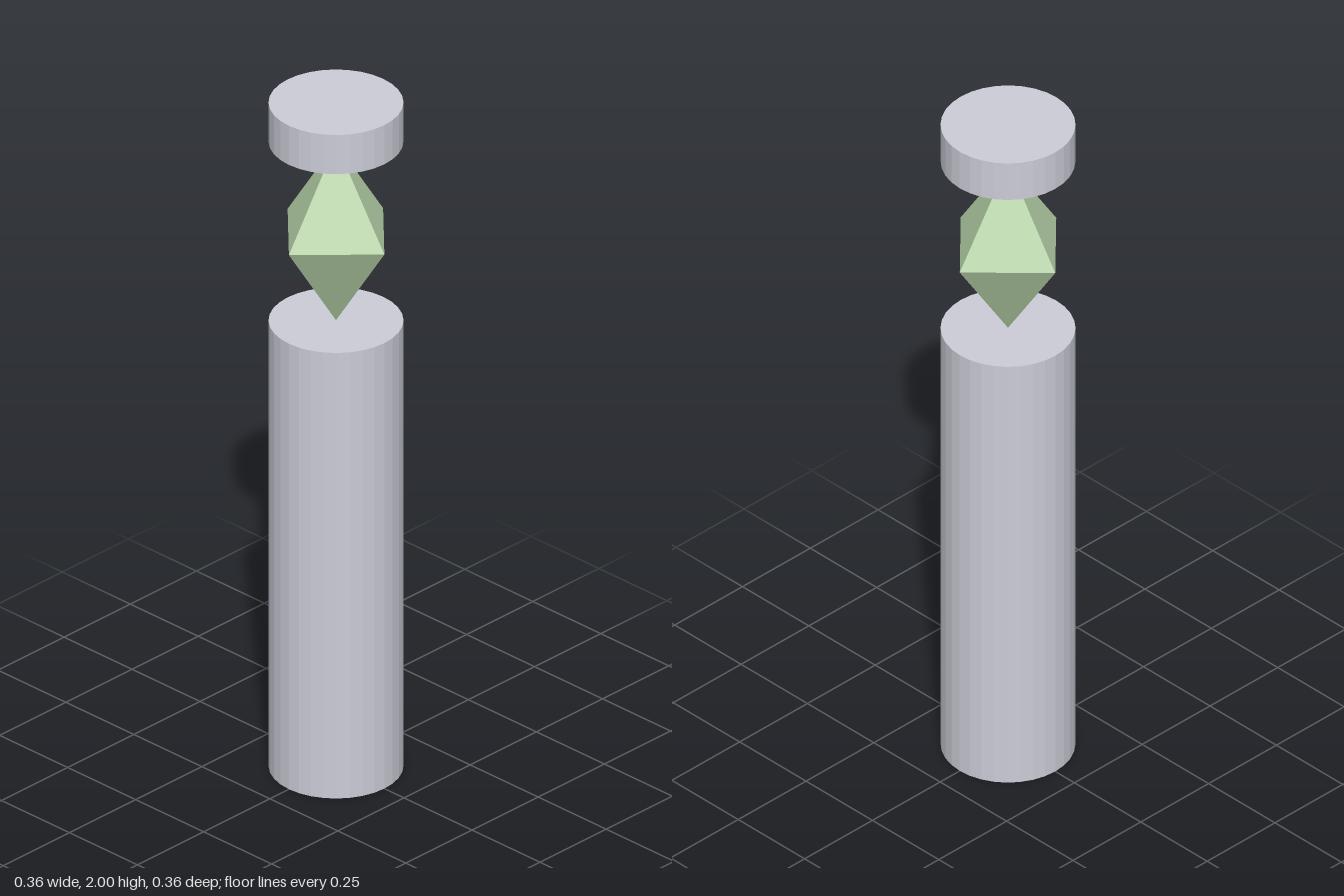
import * as THREE from 'three';

const RADIUS = 0.178;

export function createModel() {
  const group = new THREE.Group();
  const stone = new THREE.MeshStandardMaterial({ color: 0xccccd8, flatShading: true });
  const green = new THREE.MeshStandardMaterial({ color: 0xb8d4aa, flatShading: true });

  // Upright 32-sided drum between two heights
  const addDrum = (name, bottom, top) => {
    const mesh = new THREE.Mesh(new THREE.CylinderGeometry(RADIUS, RADIUS, top - bottom, 32), stone);
    mesh.position.y = (bottom + top) / 2;
    mesh.name = name;
    group.add(mesh);
  };
  addDrum('column', 0, 1.343);
  addDrum('floatingCap', 1.882, 2);

  // Stretched octahedron balanced on the column
  const geometry = new THREE.OctahedronGeometry(1);
  geometry.scale(RADIUS, 0.267, RADIUS);
  geometry.computeVertexNormals();
  const crystal = new THREE.Mesh(geometry, green);
  crystal.position.y = 1.61;
  crystal.name = 'crystal';
  group.add(crystal);

  return group;
}
